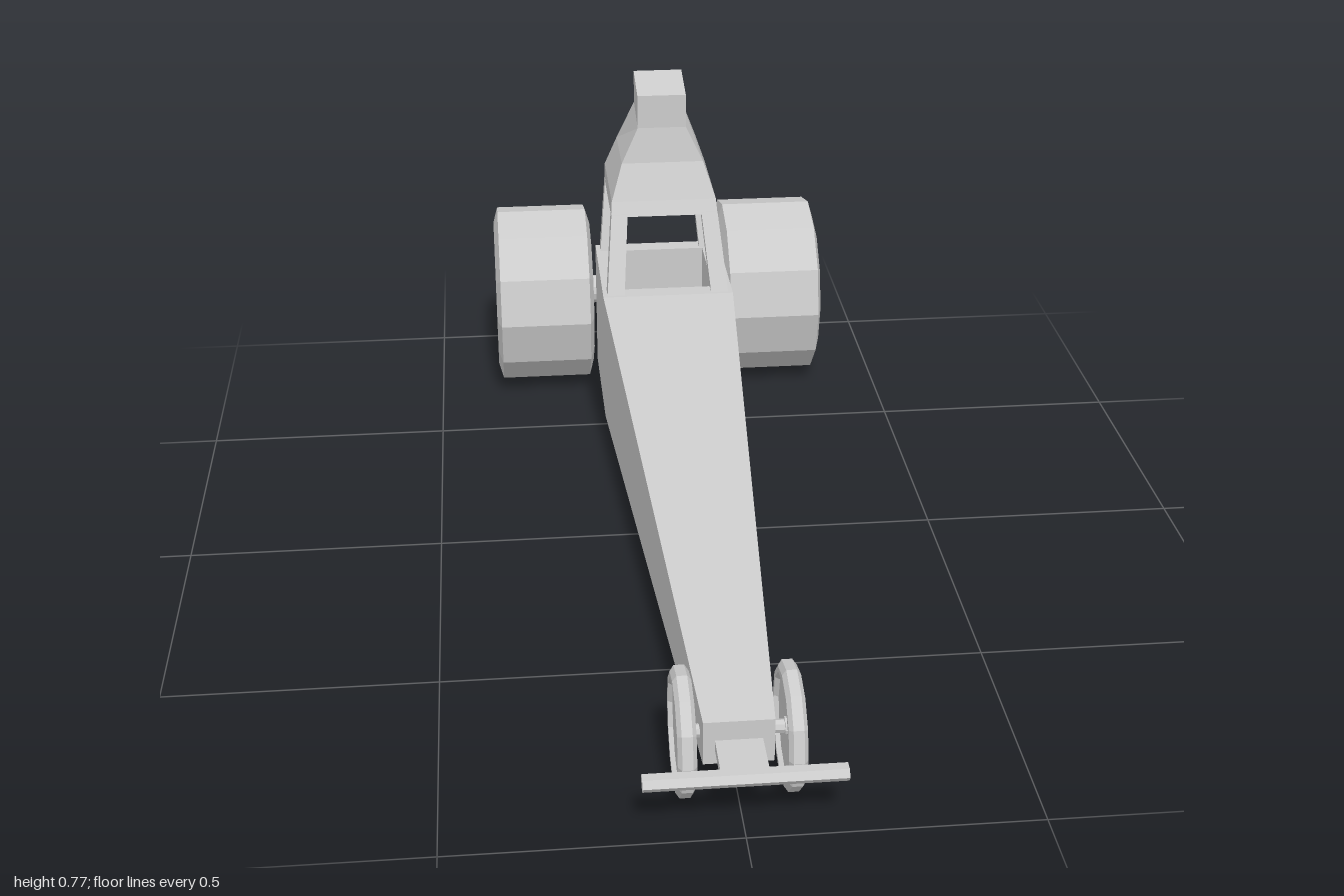
import * as THREE from 'three';

const material = new THREE.MeshStandardMaterial({ color: 0xcccccc, flatShading: true });

function add(parent, name, geometry, x = 0, y = 0, z = 0) {
  const mesh = new THREE.Mesh(geometry, material);
  mesh.name = name;
  mesh.position.set(x, y, z);
  parent.add(mesh);
  return mesh;
}

// Joins four-cornered rings into a closed faceted solid.
function loft(rings) {
  const pos = [];
  const quad = (a, b, c, d) => pos.push(...a, ...b, ...c, ...a, ...c, ...d);
  for (let r = 0; r < rings.length - 1; r++) {
    for (let i = 0; i < 4; i++) {
      const j = (i + 1) % 4;
      quad(rings[r][i], rings[r][j], rings[r + 1][j], rings[r + 1][i]);
    }
  }
  quad(...[...rings[0]].reverse());
  quad(...rings[rings.length - 1]);
  const g = new THREE.BufferGeometry();
  g.setAttribute('position', new THREE.Float32BufferAttribute(pos, 3));
  g.computeVertexNormals();
  return g;
}

// Ring lying flat; its front and back edges may sit at different heights.
const flatRing = (x0, x1, zF, zB, yF, yB = yF) =>
  [[x1, yF, zF], [x1, yB, zB], [x0, yB, zB], [x0, yF, zF]];
// Upright ring facing forward.
const uprightRing = (x, y0, y1, z) => [[x, y0, z], [x, y1, z], [-x, y1, z], [-x, y0, z]];

// Twelve-sided wheel from half a profile (radius, offset), mirrored about its middle.
function wheel(half) {
  const pts = [
    ...half.map(([r, o]) => new THREE.Vector2(r, -o)),
    ...[...half].reverse().map(([r, o]) => new THREE.Vector2(r, o)),
  ];
  return new THREE.LatheGeometry(pts, 12).rotateZ(-Math.PI / 2);
}

const bar = (radius, length, sides) =>
  new THREE.CylinderGeometry(radius, radius, length, sides).rotateZ(Math.PI / 2);

export function createModel() {
  const model = new THREE.Group();
  model.name = 'dragster';

  // Long tapering nose
  add(model, 'nose', loft([
    uprightRing(0.14, 0.06, 0.345, -0.42),
    uprightRing(0.06, 0.07, 0.152, 0.89),
  ]));

  // Cockpit tub: outer walls, rim, inner walls and floor
  add(model, 'cockpitTub', loft([
    flatRing(-0.14, 0.14, -0.42, -0.72, 0.06),
    flatRing(-0.14, 0.14, -0.42, -0.72, 0.345),
    flatRing(-0.1, 0.1, -0.46, -0.68, 0.345),
    flatRing(-0.1, 0.1, -0.46, -0.68, 0.12),
  ]));

  // Canopy with a raised intake on top
  const canopyLevels = [
    // half width, front z, back z, front y, back y
    [0.115, -0.505, -0.752, 0.495, 0.495],
    [0.113, -0.52, -0.765, 0.525, 0.525],
    [0.088, -0.553, -0.725, 0.6, 0.6],
    [0.052, -0.565, -0.67, 0.675, 0.7],
    [0.052, -0.565, -0.67, 0.747, 0.77],
  ];
  add(model, 'canopy', loft(canopyLevels.map(([x, ...rest]) => flatRing(-x, x, ...rest))));

  // Canopy posts
  const posts = [
    ['frontPost', -0.425, -0.46, -0.505, -0.535],
    ['rearPost', -0.68, -0.71, -0.725, -0.752],
  ];
  for (const s of [-1, 1]) {
    const span = (inner, outer) => (s > 0 ? [inner, outer] : [-outer, -inner]);
    for (const [name, f0, b0, f1, b1] of posts) {
      add(model, name, loft([
        flatRing(...span(0.094, 0.131), f0, b0, 0.34),
        flatRing(...span(0.08, 0.115), f1, b1, 0.5),
      ]));
    }
  }

  // Rear gearbox and axle
  add(model, 'gearbox', loft([
    uprightRing(0.04, 0.15, 0.245, -0.91),
    uprightRing(0.06, 0.13, 0.265, -0.87),
    uprightRing(0.06, 0.13, 0.265, -0.77),
    uprightRing(0.045, 0.15, 0.25, -0.71),
  ]));
  add(model, 'rearAxle', bar(0.032, 0.46, 12), 0, 0.2, -0.805);
  add(model, 'frontAxle', bar(0.012, 0.17, 8), 0, 0.11, 0.85);

  // Wheels
  const rearWheel = wheel([
    [0, 0.07], [0.045, 0.07], [0.045, 0.04], [0.1, 0.045], [0.105, 0.09],
    [0.12, 0.105], [0.165, 0.11], [0.2, 0.1],
  ]);
  const frontWheel = wheel([
    [0, 0.01], [0.016, 0.01], [0.016, 0.006], [0.085, 0.008], [0.09, 0.016],
    [0.1, 0.016], [0.11, 0.009],
  ]);
  for (const s of [-1, 1]) {
    add(model, 'rearWheel', rearWheel, s * 0.259, 0.2, -0.805);
    add(model, 'frontWheel', frontWheel, s * 0.091, 0.11, 0.85);
  }

  // Front wing on a flat support
  add(model, 'wingSupport', new THREE.BoxGeometry(0.08, 0.018, 0.12), 0, 0.107, 0.925);
  const wing = add(model, 'frontWing', bar(0.018, 0.336, 6), 0, 0.107, 0.982);
  wing.scale.y = 0.75;

  return model;
}
